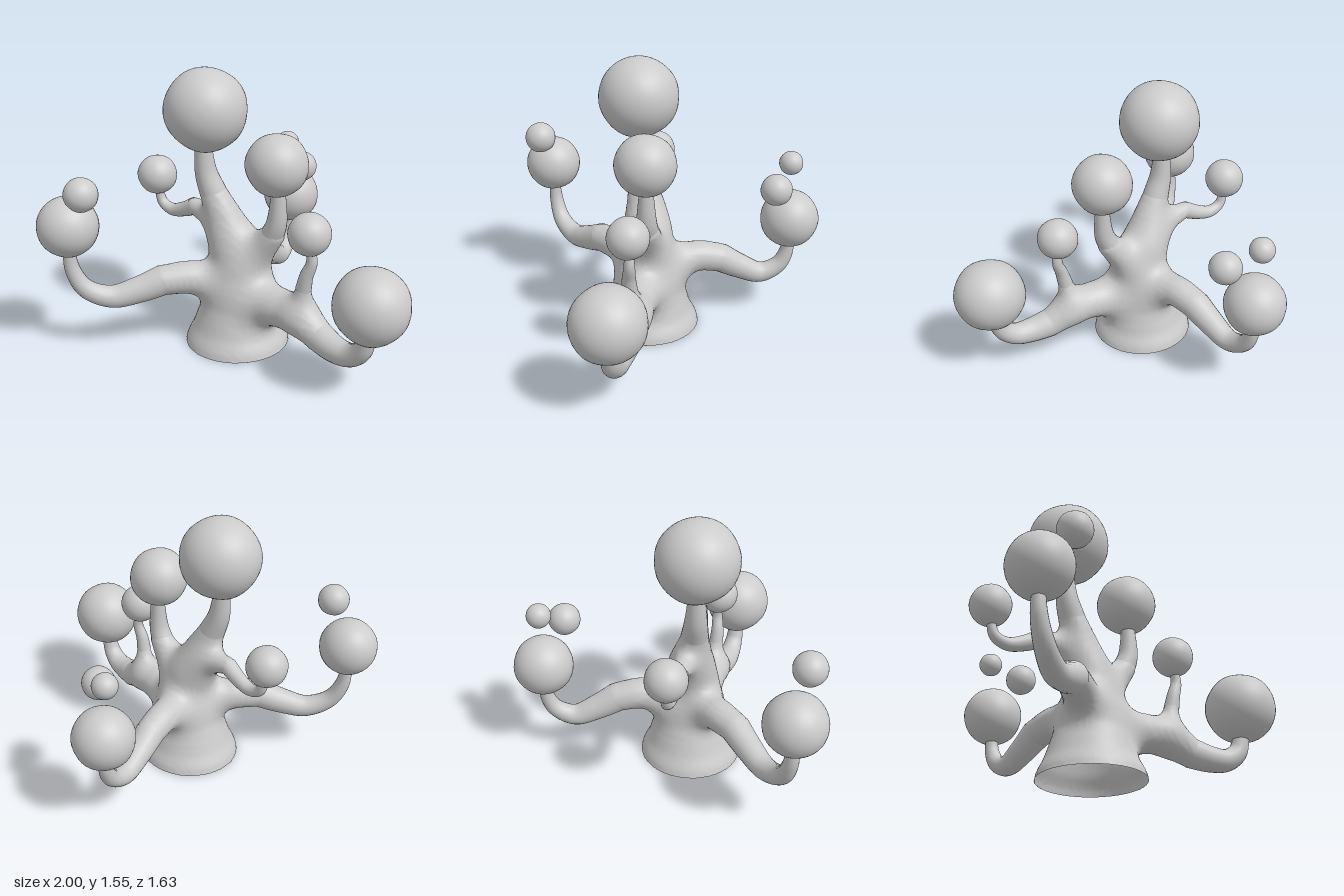
import * as THREE from 'three';

const material = new THREE.MeshStandardMaterial({ color: 0xcccccc, side: THREE.DoubleSide });

// Limbs of the trunk: rows of [x, y, z, radius]
const LIMBS = [
  // main trunk
  [[-0.05, -0.1, 0.2, 0.315], [-0.05, 0, 0.2, 0.27], [-0.04, 0.2, 0.2, 0.212], [-0.03, 0.4, 0.2, 0.17],
    [-0.06, 0.55, 0.2, 0.14], [-0.11, 0.7, 0.2, 0.105], [-0.19, 0.88, 0.2, 0.072]],
  // upper left-hand fork
  [[0.0, 0.46, 0.2, 0.1], [0.1, 0.59, 0.22, 0.085], [0.175, 0.685, 0.24, 0.066]],
  // low front-right arm
  [[-0.08, 0.34, 0.23, 0.11], [-0.27, 0.4, 0.33, 0.092], [-0.4, 0.4, 0.415, 0.083]],
  // upper right arm
  [[-0.08, 0.6, 0.18, 0.09], [-0.21, 0.7, 0.15, 0.07], [-0.34, 0.735, 0.11, 0.048]],
  // low front-left arm
  [[0.03, 0.28, 0.23, 0.13], [0.3, 0.3, 0.34, 0.1], [0.42, 0.27, 0.385, 0.092], [0.51, 0.225, 0.425, 0.08]],
  // twig on the front-left arm
  [[0.37, 0.32, 0.365, 0.075], [0.39, 0.4, 0.375, 0.052], [0.4, 0.48, 0.385, 0.04]],
  // back arm
  [[-0.04, 0.33, 0.14, 0.12], [-0.04, 0.395, -0.08, 0.09], [-0.037, 0.37, -0.23, 0.083]],
];

// Stalks: path, start radius, end radius
const STALKS = [
  ['topStalk', [[-0.185, 0.87, 0.2], [-0.225, 0.98, 0.2], [-0.24, 1.16, 0.2]], 0.075, 0.042],
  ['forkStalk', [[0.165, 0.67, 0.238], [0.2, 0.76, 0.25], [0.21, 0.97, 0.25]], 0.066, 0.035],
  ['frontRightStalk', [[-0.4, 0.4, 0.415], [-0.52, 0.35, 0.48], [-0.65, 0.318, 0.55], [-0.77, 0.375, 0.615],
    [-0.83, 0.49, 0.64], [-0.842, 0.65, 0.645]], 0.085, 0.03],
  ['upperRightStalk', [[-0.34, 0.735, 0.11], [-0.42, 0.695, 0.08], [-0.51, 0.67, 0.05], [-0.58, 0.7, 0.03],
    [-0.61, 0.8, 0.025]], 0.05, 0.022],
  ['frontLeftStalk', [[0.5, 0.23, 0.42], [0.6, 0.205, 0.475], [0.69, 0.21, 0.515], [0.76, 0.265, 0.545],
    [0.795, 0.38, 0.56]], 0.083, 0.042],
  ['twigStalk', [[0.398, 0.47, 0.384], [0.415, 0.55, 0.39], [0.442, 0.63, 0.39], [0.432, 0.72, 0.39]], 0.043, 0.023],
  ['backStalk', [[-0.037, 0.37, -0.23], [-0.035, 0.3, -0.35], [-0.03, 0.245, -0.48], [-0.022, 0.29, -0.59],
    [-0.02, 0.37, -0.635], [-0.02, 0.48, -0.645]], 0.085, 0.032],
];

// Balls: [x, y, z, radius]
const BALLS = [
  ['topBall', -0.22, 1.33, 0.2, 0.225], ['forkBall', 0.2, 1.085, 0.25, 0.167],
  ['frontRightBall', -0.835, 0.745, 0.645, 0.165], ['frontRightSmallBall', -0.69, 0.97, 0.725, 0.09],
  ['upperRightBall', -0.612, 0.865, 0.025, 0.113], ['twigBall', 0.427, 0.787, 0.39, 0.114],
  ['frontLeftBall', 0.803, 0.53, 0.56, 0.197], ['backBall', -0.018, 0.59, -0.645, 0.17],
  ['backSmallBall', 0.09, 0.825, -0.52, 0.09], ['backTinyBall', -0.045, 0.925, -0.65, 0.069],
];

const curveThrough = (pts) => new THREE.CatmullRomCurve3(pts.map((p) => new THREE.Vector3(p[0], p[1], p[2])));

// Resample a limb into short tapered segments
function limbSegments(rows) {
  const curve = curveThrough(rows), n = (rows.length - 1) * 4, out = [];
  const node = (i) => {
    const t = (i / n) * (rows.length - 1), k = Math.min(Math.floor(t), rows.length - 2);
    return { p: curve.getPoint(i / n), r: THREE.MathUtils.lerp(rows[k][3], rows[k + 1][3], t - k) };
  };
  for (let i = 0; i < n; i++) {
    const a = node(i), b = node(i + 1), d = b.p.clone().sub(a.p);
    out.push({ a: a.p, d, len2: d.lengthSq(), r: a.r, dr: b.r - a.r });
  }
  return out;
}

// Distance to all limbs, blended smoothly where they join
const limbs = LIMBS.map(limbSegments);
function field(x, y, z) {
  let total = 10;
  for (const limb of limbs) {
    let best = 10;
    for (const s of limb) {
      const px = x - s.a.x, py = y - s.a.y, pz = z - s.a.z;
      const t = Math.min(1, Math.max(0, (px * s.d.x + py * s.d.y + pz * s.d.z) / s.len2));
      const dist = Math.hypot(px - s.d.x * t, py - s.d.y * t, pz - s.d.z * t) - s.r - s.dr * t;
      if (dist < best) best = dist;
    }
    const h = Math.max(0.09 - Math.abs(total - best), 0) / 0.09;
    total = Math.min(total, best) - h * h * 0.09 / 4;
  }
  return total;
}

// Skin the blended field with one vertex per crossed cell, open at the ground
function trunkGeometry() {
  const step = 0.018, min = [-0.56, 0, -0.42], size = [68, 58, 58];
  const stride = [1, size[0], size[0] * size[1]];
  const values = new Float32Array(size[0] * size[1] * size[2]);
  const eachPoint = (fn) => {
    for (let k = 0; k < size[2]; k++)
      for (let j = 0; j < size[1]; j++)
        for (let i = 0; i < size[0]; i++) fn([i, j, k], i + j * stride[1] + k * stride[2]);
  };
  eachPoint((c, id) => {
    values[id] = field(min[0] + c[0] * step, min[1] + c[1] * step, min[2] + c[2] * step);
  });

  const positions = [], indices = [], cellVertex = new Int32Array(values.length).fill(-1);
  eachPoint((c, id) => {
    if (c.some((v, a) => v >= size[a] - 1)) return;
    const sum = [0, 0, 0];
    let count = 0;
    for (let corner = 0; corner < 8; corner++) {
      const bits = [corner & 1, (corner >> 1) & 1, corner >> 2];
      const from = id + bits[0] + bits[1] * stride[1] + bits[2] * stride[2];
      for (let a = 0; a < 3; a++) {
        if (bits[a]) continue;
        const v0 = values[from], v1 = values[from + stride[a]];
        if (v0 < 0 === v1 < 0) continue;
        for (let b = 0; b < 3; b++) sum[b] += bits[b] + (a === b ? v0 / (v0 - v1) : 0);
        count++;
      }
    }
    if (!count) return;
    cellVertex[id] = positions.length / 3;
    for (let a = 0; a < 3; a++) positions.push(min[a] + (c[a] + sum[a] / count) * step);
    if (c[1] === 0) positions[positions.length - 2] = 0;
  });

  eachPoint((c, id) => {
    for (let a = 0; a < 3; a++) {
      const b = (a + 1) % 3, d = (a + 2) % 3;
      if (c[a] >= size[a] - 1 || c[b] === 0 || c[d] === 0) continue;
      const inside = values[id] < 0;
      if (inside === values[id + stride[a]] < 0) continue;
      const q = [id - stride[b] - stride[d], id - stride[d], id, id - stride[b]].map((n) => cellVertex[n]);
      if (q.some((v) => v < 0)) continue;
      if (!inside) q.reverse();
      indices.push(q[0], q[1], q[2], q[0], q[2], q[3]);
    }
  });

  const geometry = new THREE.BufferGeometry();
  geometry.setAttribute('position', new THREE.Float32BufferAttribute(positions, 3));
  geometry.setIndex(indices);
  geometry.computeVertexNormals();
  return geometry;
}

// Tube that narrows evenly along its path
function stalkGeometry(points, r0, r1) {
  const curve = curveThrough(points), rings = 32, sides = 20;
  const geometry = new THREE.TubeGeometry(curve, rings, 1, sides);
  const pos = geometry.attributes.position, normal = new THREE.Vector3();
  for (let i = 0; i < pos.count; i++) {
    const u = Math.floor(i / (sides + 1)) / rings;
    normal.fromBufferAttribute(geometry.attributes.normal, i).multiplyScalar(THREE.MathUtils.lerp(r0, r1, u));
    normal.add(curve.getPointAt(u));
    pos.setXYZ(i, normal.x, normal.y, normal.z);
  }
  return geometry;
}

// Slightly uneven sphere
function ballGeometry(radius, seed) {
  const geometry = new THREE.SphereGeometry(1, 40, 28);
  const pos = geometry.attributes.position, v = new THREE.Vector3();
  for (let i = 0; i < pos.count; i++) {
    v.fromBufferAttribute(pos, i);
    const lump = Math.sin(4 * v.x + seed) * Math.sin(4 * v.y + 2 * seed) * Math.sin(4 * v.z + 3 * seed);
    v.multiplyScalar(radius * (1 + 0.018 * lump));
    pos.setXYZ(i, v.x, v.y, v.z);
  }
  return geometry;
}

export function createModel() {
  const model = new THREE.Group();
  model.name = 'ballTree';
  const add = (name, geometry) => {
    const mesh = new THREE.Mesh(geometry, material);
    mesh.name = name;
    model.add(mesh);
    return mesh;
  };
  add('trunk', trunkGeometry());
  for (const [name, points, r0, r1] of STALKS) add(name, stalkGeometry(points, r0, r1));
  BALLS.forEach(([name, x, y, z, r], i) => add(name, ballGeometry(r, i + 1)).position.set(x, y, z));
  return model;
}
